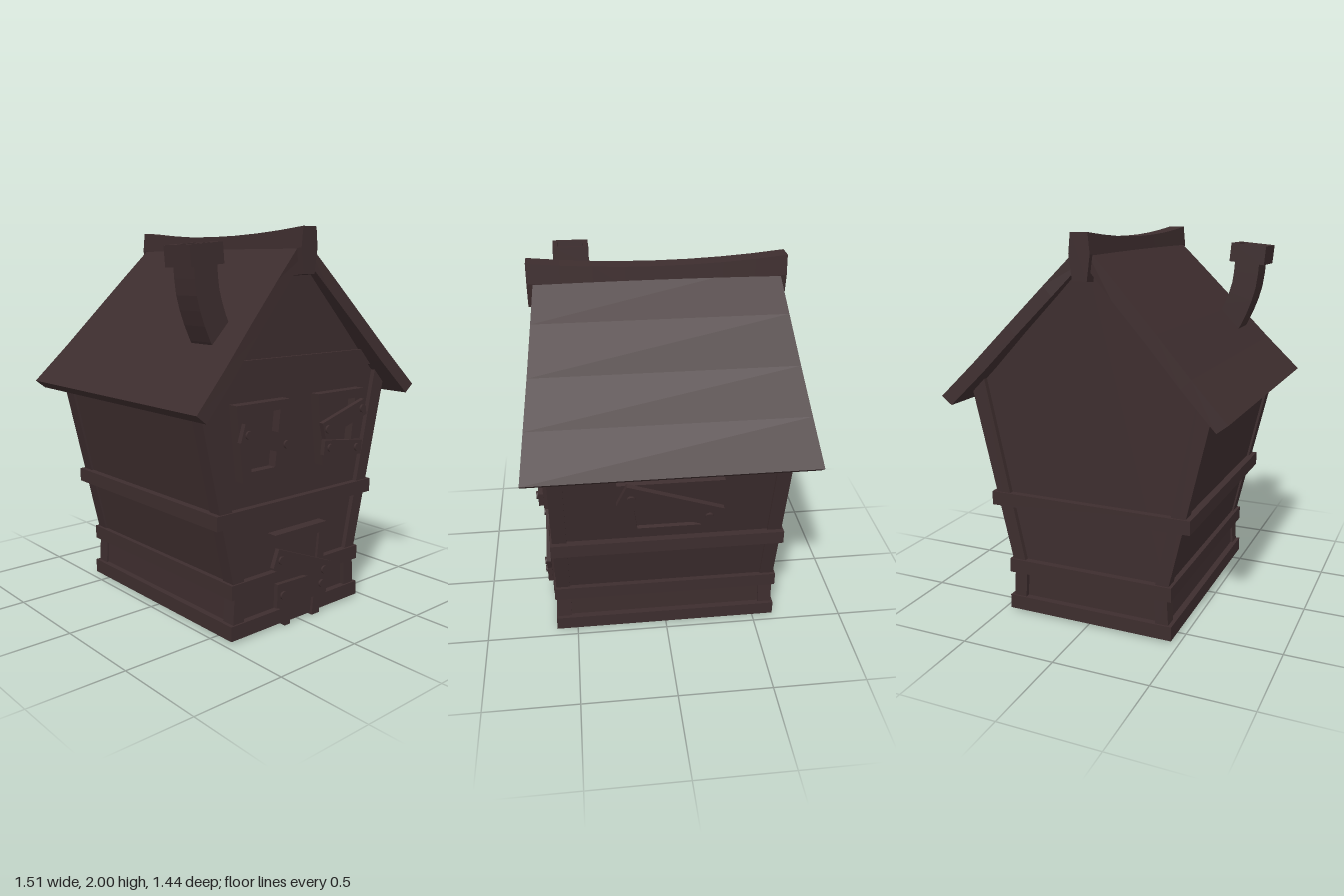
import * as THREE from 'three';

const wood = new THREE.MeshStandardMaterial({ color: 0x3d2d2e });
wood.name = 'dark brown wood';

function add(parent, name, geometry, x = 0, y = 0, z = 0) {
  const m = new THREE.Mesh(geometry, wood);
  m.name = name;
  m.position.set(x, y, z);
  parent.add(m);
  return m;
}

const box = (w, h, d) => new THREE.BoxGeometry(w, h, d);

// Flat outline pushed along +z, with an optional hole
function plate(points, depth, hole) {
  const toVec = (p) => new THREE.Vector2(p[0], p[1]);
  const shape = new THREE.Shape(points.map(toVec));
  if (hole) shape.holes.push(new THREE.Path(hole.map(toVec)));
  return new THREE.ExtrudeGeometry(shape, { depth, bevelEnabled: false });
}

// Faceted solid through rings of points (counter-clockwise about the direction of travel)
function loft(rings) {
  const pos = [];
  const tri = (a, b, c) => pos.push(...a, ...b, ...c);
  const n = rings[0].length;
  for (let i = 0; i < rings.length - 1; i++) {
    for (let j = 0; j < n; j++) {
      const k = (j + 1) % n;
      tri(rings[i][j], rings[i][k], rings[i + 1][k]);
      tri(rings[i][j], rings[i + 1][k], rings[i + 1][j]);
    }
  }
  const first = rings[0], last = rings[rings.length - 1];
  for (let j = 1; j < n - 1; j++) {
    tri(first[0], first[j + 1], first[j]);
    tri(last[0], last[j], last[j + 1]);
  }
  const g = new THREE.BufferGeometry();
  g.setAttribute('position', new THREE.Float32BufferAttribute(pos, 3));
  g.computeVertexNormals();
  return g;
}

// Nailed board: centre, size, tilt, and how far out its back lies
function board(parent, x, y, w, h, angle, z, nailX) {
  const g = new THREE.Group();
  g.name = 'nailedBoard';
  g.position.set(x, y, z);
  g.rotation.z = angle;
  add(g, 'board', box(w, h, 0.025), 0, 0, 0.0125);
  for (const s of [-1, 1]) {
    const nail = add(g, 'nail', new THREE.CylinderGeometry(0.021, 0.021, 0.012, 12), s * nailX, 0, 0.03);
    nail.rotation.x = Math.PI / 2;
  }
  parent.add(g);
}

// Tapered window frame with a recessed pane, centred on x
function windowFrame(parent, top, bottom, height, rim, depth) {
  const t = height / 2, slope = (top - bottom) / height;
  const ti = top - rim * 1.25 - slope * rim, bi = bottom - rim * 1.25 + slope * rim;
  const outer = [[-bottom, -t], [bottom, -t], [top, t], [-top, t]];
  const inner = [[-bi, rim - t], [bi, rim - t], [ti, t - rim], [-ti, t - rim]];
  add(parent, 'frame', plate(outer, depth, inner));
  add(parent, 'pane', plate(inner, 0.009));
}

export function createModel() {
  const house = new THREE.Group();
  house.name = 'crookedHouse';

  // Walls: hollow shell, open underneath, with a plate at each end
  const outer = [[0.43, 0.02], [0.42, 0.25], [0.635, 1.21], [0, 1.87], [-0.635, 1.21], [-0.42, 0.25], [-0.43, 0.02]];
  const inner = outer.map(([x, y]) => [x * 0.95, y > 1 ? y - 0.02 : y]).reverse();
  add(house, 'sideWalls', plate([...outer, ...inner], 1.14), 0, 0, -0.57);
  for (const z of [0.56, -0.58]) add(house, 'endWall', plate(outer, 0.02), 0, 0, z);

  // Corner posts, bent at the waist
  for (const s of [-1, 1]) {
    const post = [[0.445, 0.01], [0.43, 0.25], [0.65, 1.21], [0.58, 1.28], [0.36, 0.25], [0.375, 0.01]]
      .map(([x, y]) => [x * s, y]);
    for (const z of [0.53, -0.605]) add(house, 'cornerPost', plate(post, 0.075), 0, 0, z);
  }

  // Three belts of beams around the walls
  for (const [y, half, h] of [[0.048, 0.46, 0.076], [0.258, 0.457, 0.075], [0.625, 0.55, 0.073]]) {
    const belt = new THREE.Group();
    belt.name = 'beltBeams';
    for (const s of [-1, 1]) {
      add(belt, 'endBeam', box(half * 2, h, 0.07), 0, y, s * 0.58);
      add(belt, 'sideBeam', box(0.07, h, 1.09), s * (half - 0.035), y, 0);
    }
    house.add(belt);
  }
  add(house, 'gableBeam', plate([[-0.55, 1.295], [0.55, 1.295], [0.47, 1.378], [-0.47, 1.378]], 0.03), 0, 0, 0.57);

  // Roof slopes, wider toward the eaves: top x, y, underside x, y, half depth
  const stations = [[0, 1.95, 0, 1.86, 0.613], [0.2, 1.748, 0.155, 1.697, 0.64],
    [0.39, 1.552, 0.345, 1.502, 0.667], [0.57, 1.364, 0.52, 1.316, 0.695], [0.755, 1.18, 0.7, 1.137, 0.722]];
  for (const s of [-1, 1]) {
    const rings = stations.map(([tx, ty, bx, by, z]) =>
      [[s * bx, by, z], [s * bx, by, -z], [s * tx, ty, -z], [s * tx, ty, z]]);
    add(house, 'roofSlope', loft(s > 0 ? rings : rings.reverse()));
  }

  // Sagging ridge beam
  const ridge = [];
  for (let i = 0; i <= 8; i++) {
    const z = -0.65 + i * 0.1625, sag = 0.035 * (1 - (z / 0.65) ** 2);
    ridge.push([[-0.038, 1.775], [0.038, 1.775], [0.055, 1.9], [0.045, 2], [-0.045, 2], [-0.055, 1.9]]
      .map(([x, y]) => [x, y - sag, z]));
  }
  add(house, 'ridgeBeam', loft(ridge));

  // Bent chimney with a hollow cap
  const path = new THREE.CatmullRomCurve3([[-0.37, 1.4], [-0.425, 1.48], [-0.48, 1.6], [-0.512, 1.71], [-0.523, 1.83]]
    .map(([x, y]) => new THREE.Vector3(x, y, 0.427)));
  const shaft = [];
  for (let i = 0; i <= 7; i++) {
    const p = path.getPoint(i / 7), d = path.getTangent(i / 7);
    const nx = d.y * 0.068, ny = -d.x * 0.068;
    shaft.push([[1, 1], [1, -1], [-1, -1], [-1, 1]].map(([a, b]) => [p.x + a * nx, p.y + a * ny, p.z + b * 0.077]));
  }
  add(house, 'chimneyShaft', loft(shaft));
  const square = (r) => [[-r, -r], [r, -r], [r, r], [-r, r]];
  const cap = plate(square(0.097), 0.1, square(0.069));
  cap.rotateX(-Math.PI / 2);
  add(house, 'chimneyCap', cap, -0.525, 1.815, 0.427).rotation.z = 0.09;

  // Front windows
  for (const s of [-1, 1]) {
    const win = new THREE.Group();
    win.name = s < 0 ? 'rightFrontWindow' : 'leftFrontWindow';
    win.position.set(s * 0.275, 0.99, 0.58);
    windowFrame(win, 0.174, 0.131, 0.375, 0.047, 0.055);
    if (s < 0) {
      board(win, 0.003, 0.01, 0.33, 0.092, -0.3, 0.055, 0.13);
    } else {
      board(win, 0.006, 0.045, 0.33, 0.088, 0.29, 0.055, 0.137);
      board(win, -0.003, -0.106, 0.29, 0.077, -0.12, 0.055, 0.104);
    }
    house.add(win);
  }

  // Side window, leaning with the wall
  const side = new THREE.Group();
  side.name = 'leftSideWindow';
  side.position.set(0.567, 0.898, 0);
  side.rotation.set(0.223, Math.PI / 2, 0, 'YXZ');
  windowFrame(side, 0.268, 0.22, 0.373, 0.05, 0.03);
  board(side, 0, 0.038, 0.53, 0.14, -0.38, 0.03, 0.214);
  house.add(side);

  // Front door, framed on three sides
  const door = new THREE.Group();
  door.name = 'frontDoor';
  door.position.z = 0.58;
  add(door, 'doorFrame', plate([[-0.115, 0], [-0.19, 0.497], [0.182, 0.497], [0.14, 0], [0.085, 0],
    [0.13, 0.445], [-0.135, 0.445], [-0.075, 0]], 0.055));
  add(door, 'doorPanel', plate([[-0.075, 0.01], [0.085, 0.01], [0.13, 0.445], [-0.135, 0.445]], 0.04));
  board(door, -0.015, 0.31, 0.41, 0.1, -0.38, 0.055, 0.168);
  board(door, -0.015, 0.18, 0.36, 0.125, -0.03, 0.055, 0.14);
  house.add(door);

  return house;
}
